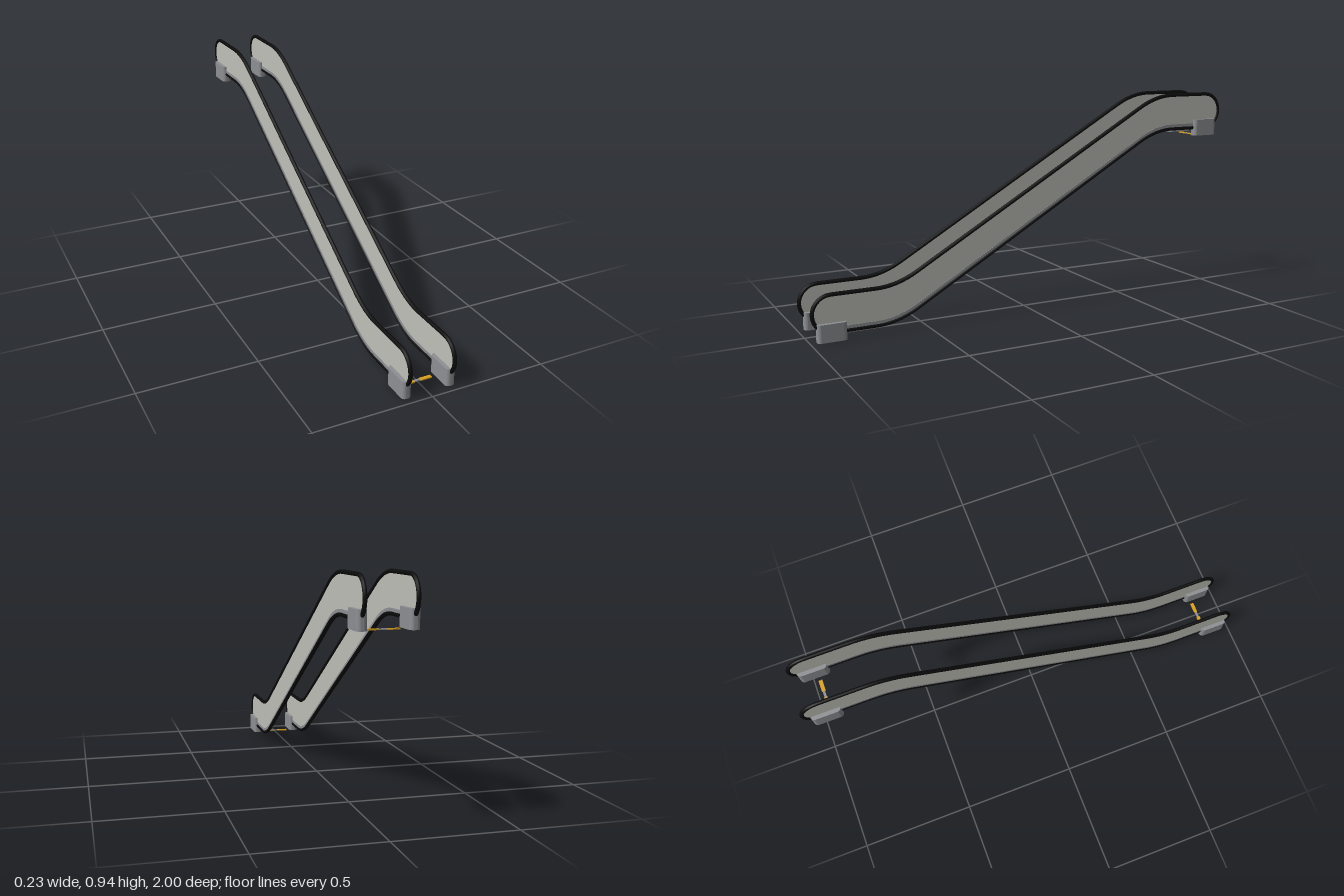
import * as THREE from 'three';

const mat = (name, color) => Object.assign(new THREE.MeshStandardMaterial({ color }), { name });

const SIDE_X = 0.096;   // distance of each balustrade from the centre
const LOW = 0.04;       // underside of the lower landing
const RISE = 0.733;     // height between landings
const H = 0.155;        // balustrade height
const KNEE = 0.636;     // where the slope meets a landing
const END = 0.9145;     // centre of the rounded ends
const BEND = 0.09;      // half length of each bend

// Draws the bent landing-slope-landing line at a height offset; u runs to the back (u = -z).
function bentLine(path, dy, forward) {
  const s = forward ? 1 : -1;
  const y = (u) => LOW + dy + RISE * THREE.MathUtils.clamp((u + KNEE) / (2 * KNEE), 0, 1);
  for (const k of [-s * KNEE, s * KNEE]) {
    path.lineTo(k - s * BEND, y(k - s * BEND));
    path.quadraticCurveTo(k, y(k), k + s * BEND, y(k + s * BEND));
  }
}

// Closed side outline with semicircular ends
function outline() {
  const shape = new THREE.Shape();
  shape.moveTo(-END, LOW);
  bentLine(shape, 0, true);
  shape.lineTo(END, LOW + RISE);
  shape.absarc(END, LOW + RISE + H / 2, H / 2, -Math.PI / 2, Math.PI / 2, false);
  bentLine(shape, H, false);
  shape.lineTo(-END, LOW + H);
  shape.absarc(-END, LOW + H / 2, H / 2, Math.PI / 2, Math.PI * 1.5, false);
  return shape;
}

// Thin strip following the underside
function skirtShape() {
  const shape = new THREE.Shape();
  shape.moveTo(-END, LOW + 0.004);
  bentLine(shape, 0.004, true);
  shape.lineTo(END, LOW + RISE + 0.004);
  shape.lineTo(END, LOW + RISE + 0.02);
  bentLine(shape, 0.02, false);
  shape.lineTo(-END, LOW + 0.02);
  return shape;
}

// Extrudes a (-z, y) shape across x, centred on x = 0
function slab(shape, thickness) {
  const g = new THREE.ExtrudeGeometry(shape, { depth: thickness, bevelEnabled: false, curveSegments: 16 });
  return g.translate(0, 0, -thickness / 2).rotateY(Math.PI / 2);
}

// Newel block: plan with rounded corners, extruded upwards
function newelGeometry() {
  const w = 0.02, l = 0.0615, r = 0.016;
  const s = new THREE.Shape();
  s.absarc(w - r, l - r, r, 0, Math.PI / 2);
  s.absarc(-w + r, l - r, r, Math.PI / 2, Math.PI);
  s.absarc(-w + r, -l + r, r, Math.PI, Math.PI * 1.5);
  s.absarc(w - r, -l + r, r, Math.PI * 1.5, Math.PI * 2);
  const g = new THREE.ExtrudeGeometry(s, { depth: 0.075, bevelEnabled: false, curveSegments: 5 });
  return g.rotateX(-Math.PI / 2);
}

export function createModel() {
  const panelMat = mat('pale panel', 0xbfc0b8);
  const railMat = mat('black rubber', 0x0b0b0c);
  const metalMat = mat('grey metal', 0x8f9094);
  const yellowMat = mat('safety yellow', 0xd9a01e);

  const model = new THREE.Group();
  model.name = 'escalatorBalustrades';
  const add = (parent, name, geometry, material, x = 0, y = 0, z = 0) => {
    const m = new THREE.Mesh(geometry, material);
    m.name = name;
    m.position.set(x, y, z);
    parent.add(m);
  };

  // Shared geometry for both sides
  const shape = outline();
  const points = shape.getSpacedPoints(220).slice(0, -1).map((p) => new THREE.Vector3(0, p.y, -p.x));
  const railGeo = new THREE.TubeGeometry(new THREE.CatmullRomCurve3(points, true), 260, 0.0085, 10, true);
  const panelGeo = slab(shape, 0.006);
  const skirtGeo = slab(skirtShape(), 0.009);
  const newelGeo = newelGeometry();

  for (const side of [-1, 1]) {
    const group = new THREE.Group();
    group.name = side > 0 ? 'leftBalustrade' : 'rightBalustrade';
    group.position.x = side * SIDE_X;
    add(group, 'panel', panelGeo, panelMat);
    add(group, 'handrail', railGeo, railMat);
    add(group, 'skirt', skirtGeo, metalMat);
    add(group, 'lowerNewel', newelGeo, metalMat, 0, 0.005, 0.915);
    add(group, 'upperNewel', newelGeo, metalMat, 0, 0.736, -0.907);
    model.add(group);
  }

  // Comb plates across the two landings: narrow metal middle, yellow ends
  const endGeo = new THREE.BoxGeometry(0.05, 0.005, 0.016);
  const midGeo = new THREE.BoxGeometry(0.03, 0.005, 0.01);
  for (const [name, y, z] of [['lowerComb', 0.0025, 0.887], ['upperComb', 0.735, -0.895]]) {
    const comb = new THREE.Group();
    comb.name = name;
    comb.position.set(-0.001, y, z);
    add(comb, 'combMiddle', midGeo, metalMat);
    for (const s of [-1, 1]) add(comb, 'combEnd', endGeo, yellowMat, s * 0.038);
    model.add(comb);
  }
  return model;
}
